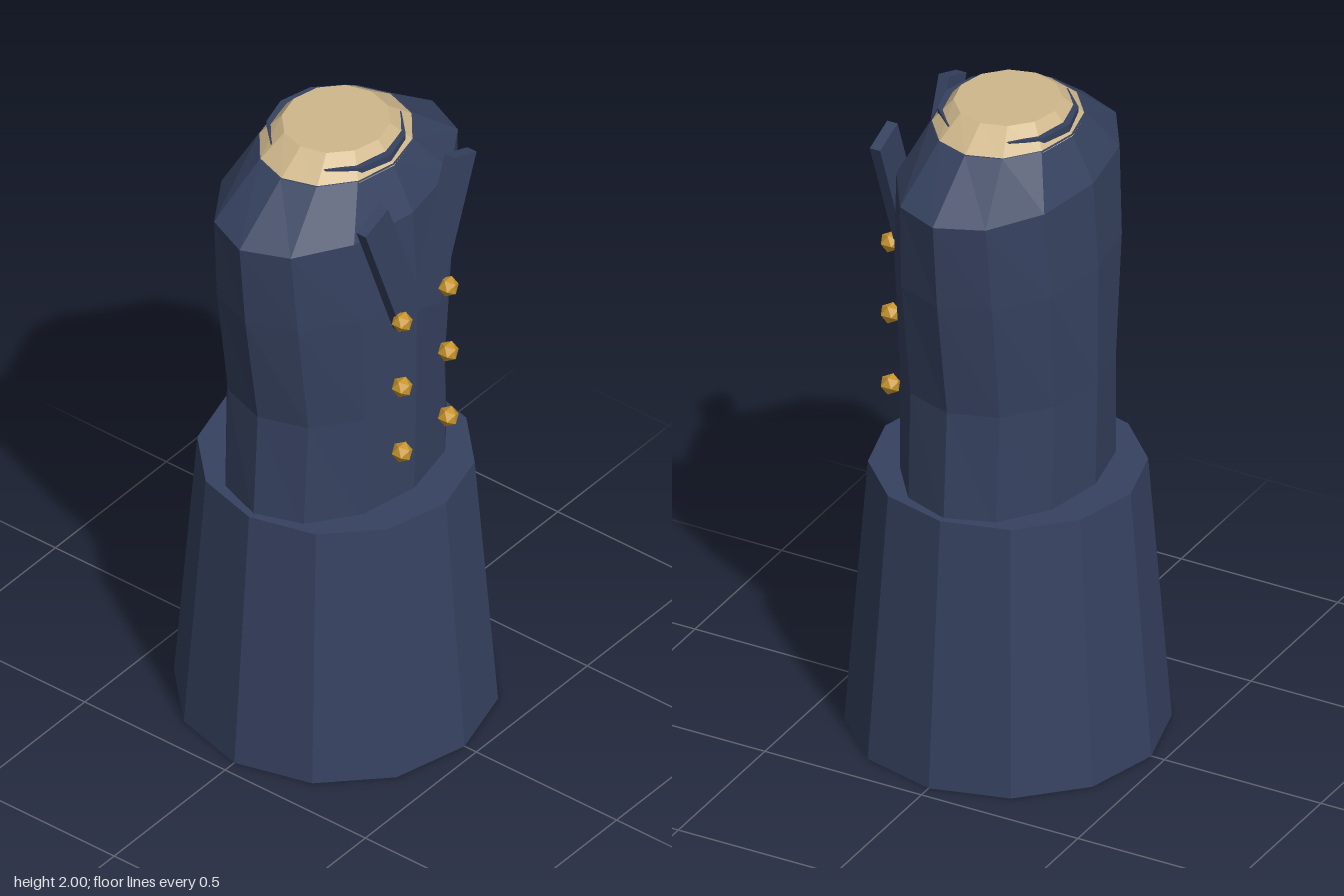
import * as THREE from 'three';

const SIDES = 12;
const paint = (color) => new THREE.MeshStandardMaterial({ color, flatShading: true });

// Stacked elliptical rings, each [y, half width in x, half depth in z]; closed at both ends
function loft(rings) {
  const all = [[rings[0][0], 0, 0], ...rings, [rings[rings.length - 1][0], 0, 0]];
  const geo = new THREE.LatheGeometry(all.map(([y]) => new THREE.Vector2(1, y)), SIDES);
  const pos = geo.attributes.position;
  for (let i = 0; i < pos.count; i++) {
    const [y, rx, rz] = all[i % all.length];
    pos.setXYZ(i, pos.getX(i) * rx, y, pos.getZ(i) * rz);
  }
  geo.computeVertexNormals();
  return geo;
}

export function createModel() {
  const model = new THREE.Group();
  const cloth = paint(0x364260);
  const skin = paint(0xd0b88c);
  const brass = paint(0xc8962e);

  const add = (name, geometry, material, x = 0, y = 0, z = 0) => {
    const mesh = new THREE.Mesh(geometry, material);
    mesh.name = name;
    mesh.position.set(x, y, z);
    model.add(mesh);
    return mesh;
  };

  // Flared coat skirt
  add('skirt', new THREE.CylinderGeometry(0.392, 0.458, 0.83, SIDES), cloth, 0, 0.415, 0);

  // Waisted torso with sloping shoulders
  add('torso', loft([
    [0.8, 0.373, 0.279],
    [1.16, 0.353, 0.286],
    [1.53, 0.41, 0.289],
    [1.8, 0.435, 0.273],
    [1.94, 0.25, 0.204],
  ]), cloth);

  // Neck stump and the round collar that just breaks through it front and back
  add('neck', loft([[1.935, 0.252, 0.207], [2, 0.16, 0.15]]), skin);
  add('collar', new THREE.CylinderGeometry(0.197, 0.197, 0.06, SIDES), cloth, 0, 1.94, 0);

  // Mirrored lapels crossing at the bottom, and two columns of buttons
  const lapelGeo = new THREE.BoxGeometry(0.108, 0.467, 0.033);
  const buttonGeo = new THREE.IcosahedronGeometry(0.031, 0);
  for (const [side, s] of [['left', 1], ['right', -1]]) {
    add(side + 'Lapel', lapelGeo, cloth, s * 0.117, 1.679, 0.287).rotation.z = -s * 0.36;
    [1.038, 1.268, 1.498].forEach((y, i) =>
      add(side + 'Button' + (i + 1), buttonGeo, brass, s * 0.104, y, 0.318));
  }
  return model;
}
